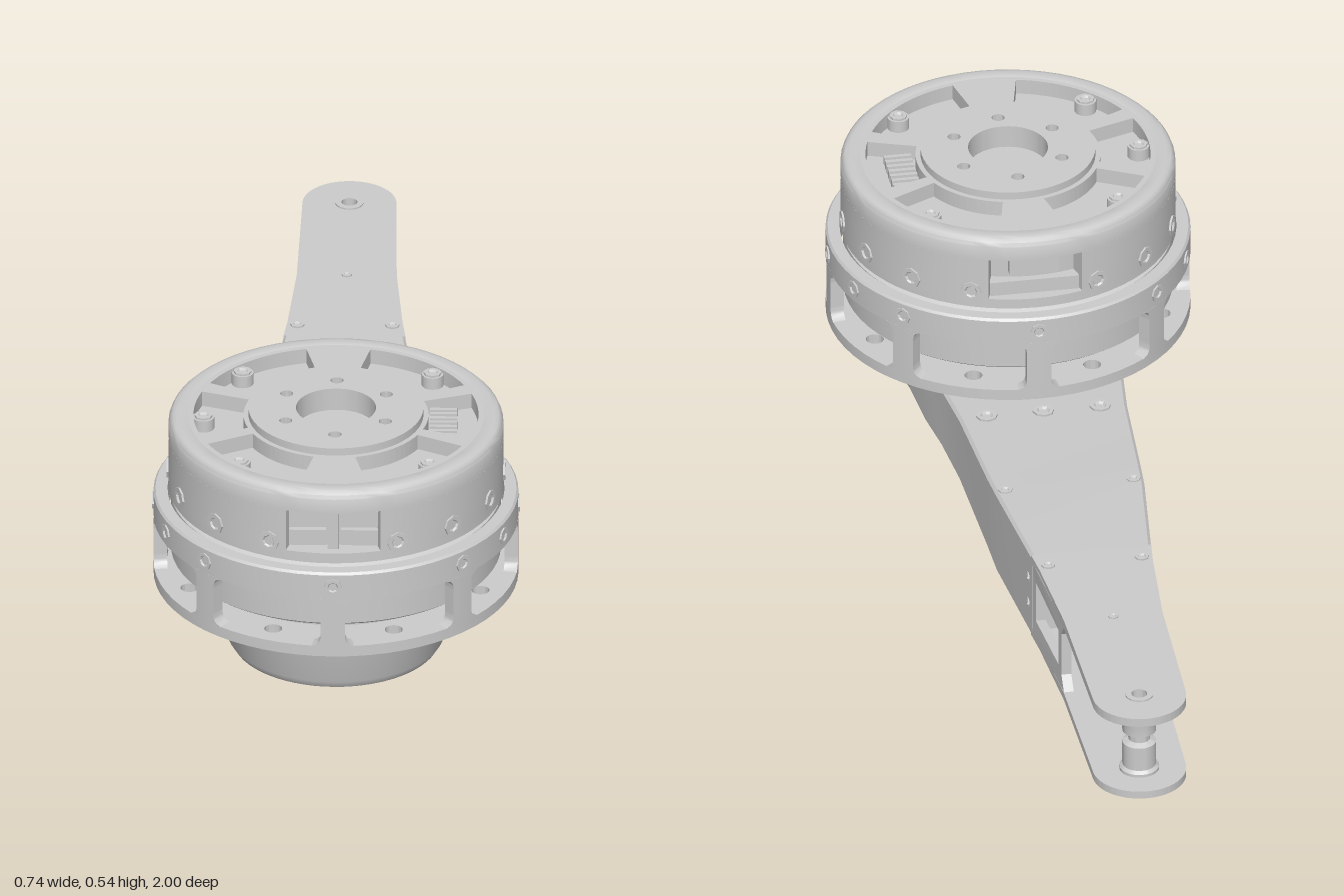
import * as THREE from 'three';
import { toCreasedNormals } from 'three/addons/utils/BufferGeometryUtils.js';

const MAT = new THREE.MeshStandardMaterial({ color: 0xcccccc, side: THREE.DoubleSide });
const V = (x, y) => new THREE.Vector2(x, y);

function add(parent, name, geometry, x = 0, y = 0, z = 0) {
  const mesh = new THREE.Mesh(geometry, MAT);
  mesh.name = name;
  mesh.position.set(x, y, z);
  parent.add(mesh);
  return mesh;
}

// Turned part from [radius, height] pairs, with crisp edges
const turned = (pts, sides = 64) =>
  toCreasedNormals(new THREE.LatheGeometry(pts.map(p => V(...p)), sides), 0.6);
const ring = (r0, r1, y0, y1) => turned([[r0, y0], [r1, y0], [r1, y1], [r0, y1], [r0, y0]]);

// Horizontal slab: the shape is drawn in (x, -z) and raised from y0 to y1
function slab(shape, y0, y1) {
  const g = new THREE.ExtrudeGeometry(shape, { depth: y1 - y0, bevelEnabled: false, curveSegments: 32 });
  g.rotateX(-Math.PI / 2).translate(0, y0, 0);
  return toCreasedNormals(g, 0.6);
}

const circle = (x, y, r) => new THREE.Path().absarc(x, y, r, 0, Math.PI * 2, true);

function sector(r0, r1, a0, a1) {
  const p = new THREE.Path();
  p.absarc(0, 0, r1, a0, a1, false);
  p.absarc(0, 0, r0, a1, a0, true);
  p.closePath();
  return p;
}

// Box wrapped round the y axis; half(y) gives its half angle
function bentBox(r0, r1, y0, y1, angle, half, cols, rows) {
  const g = new THREE.BoxGeometry(1, 1, 1, cols, rows, 1);
  const p = g.attributes.position;
  for (let i = 0; i < p.count; i++) {
    const y = y0 + (p.getY(i) + 0.5) * (y1 - y0);
    const a = angle + p.getX(i) * 2 * half(y);
    const r = r0 + (p.getZ(i) + 0.5) * (r1 - r0);
    p.setXYZ(i, Math.sin(a) * r, y, Math.cos(a) * r);
  }
  return toCreasedNormals(g, 0.6);
}

// Small socket screw, facing +y
const SCREW = turned([[0.018, -0.006], [0.018, 0.003], [0.011, 0.003], [0.008, -0.001], [0, -0.001]], 8);

function wallScrew(parent, angle, r, y, size) {
  const pivot = new THREE.Group();
  pivot.rotation.y = angle;
  parent.add(pivot);
  const s = add(pivot, 'wallScrew', SCREW, 0, y, r);
  s.rotation.x = Math.PI / 2;
  s.scale.setScalar(size);
}

// Half-width of the arm along z
const WIDTHS = [[0.62, 0.212], [0.45, 0.2], [0.35, 0.184], [0.22, 0.17], [-0.08, 0.152], [-0.4, 0.115], [-0.6, 0.1], [-0.905, 0.094]];
function halfWidth(z) {
  for (let i = 1; i < WIDTHS.length; i++) {
    const [z0, w0] = WIDTHS[i - 1], [z1, w1] = WIDTHS[i];
    if (z >= z1) return w0 + (w1 - w0) * (z0 - z) / (z0 - z1);
  }
  return 0.094;
}

// Solid root of the arm, lofted from sections [z, bottom, top, bottom chamfer]
function armBody() {
  const rows = [[0.62, 0.013, 0.165, 0.02], [0.45, 0.013, 0.165, 0.025], [0.35, 0.012, 0.168, 0.025], [0.22, 0.009, 0.173, 0.025],
    [-0.02, 0.003, 0.181, 0.018], [-0.1, 0, 0.186, 0.01], [-0.35, 0, 0.186, 0.005]];
  const pos = [], idx = [], n = 8;
  for (const [z, b, t, c] of rows) {
    const w = halfWidth(z), e = 0.006;
    for (const [x, y] of [[w - c, b], [w, b + c], [w, t - e], [w - e, t], [e - w, t], [-w, t - e], [-w, b + c], [c - w, b]])
      pos.push(x, y, z);
  }
  for (let i = 0; i < rows.length - 1; i++)
    for (let k = 0; k < n; k++) {
      const a = i * n + k, b = i * n + (k + 1) % n;
      idx.push(a, a + n, b, b, a + n, b + n);
    }
  const end = (rows.length - 1) * n;
  for (let k = 1; k < n - 1; k++) idx.push(end, end + k + 1, end + k, 0, k, k + 1);
  const g = new THREE.BufferGeometry();
  g.setAttribute('position', new THREE.Float32BufferAttribute(pos, 3));
  g.setIndex(idx);
  return toCreasedNormals(g, 0.5);
}

function buildArm() {
  const arm = new THREE.Group();
  arm.name = 'arm';
  add(arm, 'armBody', armBody());

  // Upper and lower fork plates with rounded tip
  const plate = new THREE.Shape();
  const zs = [-0.34, -0.4, -0.6, -0.905];
  plate.moveTo(-halfWidth(zs[0]), -zs[0]);
  zs.forEach(z => plate.lineTo(halfWidth(z), -z));
  plate.absarc(0, 0.905, 0.094, 0, Math.PI, false);
  [...zs].reverse().forEach(z => plate.lineTo(-halfWidth(z), -z));
  plate.holes.push(circle(0, 0.905, 0.016));
  add(arm, 'upperForkPlate', slab(plate, 0.168, 0.186));
  add(arm, 'lowerForkPlate', slab(plate, 0, 0.016));

  // Side walls with a window
  const wall = new THREE.Shape([V(0.33, 0.01), V(0.6, 0.01), V(0.575, 0.045), V(0.575, 0.14), V(0.6, 0.175), V(0.33, 0.175)]);
  wall.holes.push(new THREE.Path([V(0.37, 0.05), V(0.37, 0.14), V(0.553, 0.135), V(0.553, 0.055)]));
  const wg = new THREE.ExtrudeGeometry(wall, { depth: 0.02, bevelEnabled: false });
  wg.rotateY(Math.PI / 2);
  const p = wg.attributes.position;
  for (let i = 0; i < p.count; i++) p.setX(i, p.getX(i) + halfWidth(p.getZ(i)) - 0.021);
  wg.computeVertexNormals();
  for (const s of [1, -1]) {
    add(arm, 'sideWall', wg).scale.x = s;
    for (const y of [0.065, 0.125]) {
      const screw = add(arm, 'sideScrew', SCREW, s * halfWidth(-0.32), y, -0.32);
      screw.rotation.z = -s * Math.PI / 2;
      screw.scale.setScalar(0.6);
    }
  }

  // Spacer post and tip standoff
  add(arm, 'spacerPost', new THREE.CylinderGeometry(0.03, 0.03, 0.16, 24), 0, 0.093, -0.6);
  add(arm, 'tipStandoff', turned([[0, 0.014], [0.04, 0.014], [0.04, 0.022], [0.034, 0.028], [0.034, 0.08], [0.022, 0.086],
    [0.022, 0.1], [0.034, 0.106], [0.034, 0.14], [0.04, 0.162], [0.04, 0.17], [0, 0.17]], 32), 0, 0, -0.905);
  add(arm, 'tipCollar', ring(0.016, 0.028, 0.18, 0.189), 0, 0, -0.905);

  // Top screws, and three underneath
  const spots = [[0, 0.22, 0.174, 1.2], [0, -0.6, 0.187, 0.6]];
  for (const s of [1, -1])
    spots.push([s * 0.115, 0.22, 0.174, 1.2], [s * 0.13, -0.085, 0.186, 0.8], [s * 0.095, -0.385, 0.187, 0.8]);
  for (const [x, z, y, k] of spots) add(arm, 'topScrew', SCREW, x, y, z).scale.setScalar(k);
  for (const x of [-0.115, 0, 0.115]) add(arm, 'bottomScrew', SCREW, x, 0.009, 0.22).rotation.x = Math.PI;
  return arm;
}

function buildMotor() {
  const motor = new THREE.Group();
  motor.name = 'motor';
  motor.position.z = 0.635;

  // Lower hub with flared flange
  add(motor, 'lowerHub', turned([[0, 0.013], [0.185, 0.013], [0.207, 0.02], [0.217, 0.036], [0.221, 0.13], [0.228, 0.146],
    [0.25, 0.157], [0.277, 0.157], [0.277, 0.174], [0, 0.174]]));

  // Cage: base plate, eight pillars and top band
  const base = new THREE.Shape().absarc(0, 0, 0.365, 0, Math.PI * 2, false);
  base.holes.push(circle(0, 0, 0.2));
  for (let i = 0; i < 8; i++) {
    const a = (i + 0.5) * Math.PI / 4;
    base.holes.push(circle(Math.cos(a) * 0.315, Math.sin(a) * 0.315, 0.018));
  }
  add(motor, 'cageBase', slab(base, 0.173, 0.196));
  add(motor, 'cageBand', turned([[0.337, 0.302], [0.365, 0.302], [0.365, 0.356], [0.361, 0.361], [0.337, 0.361], [0.337, 0.302]]));
  const flare = y => {
    const d = Math.max(0, 0.02 - Math.min(y - 0.195, 0.303 - y));
    return 0.068 + (0.02 - Math.sqrt(Math.max(0, 0.0004 - d * d))) / 0.365;
  };
  for (let i = 0; i < 8; i++) {
    const a = i * Math.PI / 4;
    add(motor, 'cagePillar', bentBox(0.338, 0.365, 0.195, 0.303, a, flare, 6, 20));
    wallScrew(motor, a, 0.365, 0.33, 1);
  }
  for (const side of [1, -1])
    for (const d of [-1, 1]) wallScrew(motor, side * Math.PI / 2 + d * Math.PI / 8, 0.365, 0.33, 1);

  // Stator foot and rotor drum inside the cage
  add(motor, 'statorFoot', ring(0.1, 0.275, 0.19, 0.23));
  add(motor, 'rotorDrum', turned([[0, 0.224], [0.322, 0.224], [0.33, 0.23], [0.33, 0.355], [0.32, 0.36], [0.32, 0.372], [0, 0.372]]));

  // Upper case: lower ring, side bands between front and back ports, rounded rim
  add(motor, 'caseLowerRing', ring(0.295, 0.335, 0.369, 0.39));
  for (const s of [1, -1])
    add(motor, 'caseSideBand', bentBox(0.295, 0.335, 0.39, 0.48, s * Math.PI / 2, () => Math.PI / 2 - 0.287, 40, 1));
  add(motor, 'caseRim', turned([[0.29, 0.48], [0.335, 0.48], [0.335, 0.512], [0.332, 0.52], [0.326, 0.526], [0.318, 0.528],
    [0.298, 0.528], [0.29, 0.524], [0.29, 0.48]]));
  add(motor, 'caseCore', new THREE.CylinderGeometry(0.296, 0.296, 0.125, 64), 0, 0.4325, 0);
  for (let i = 0; i < 16; i++) if (i % 8) wallScrew(motor, i * Math.PI / 8, 0.335, 0.405, 1.2);

  // Front connectors and back port
  for (const s of [1, -1]) {
    add(motor, 'frontConnector', new THREE.BoxGeometry(0.074, 0.036, 0.04), s * 0.052, 0.456, 0.293);
    add(motor, 'frontConnectorLip', new THREE.BoxGeometry(0.074, 0.034, 0.04), s * 0.052, 0.412, 0.288);
  }
  add(motor, 'frontDivider', new THREE.BoxGeometry(0.022, 0.09, 0.04), 0, 0.435, 0.296);
  add(motor, 'backPort', new THREE.BoxGeometry(0.1, 0.045, 0.03), 0, 0.456, -0.294);
  add(motor, 'backPortLip', new THREE.BoxGeometry(0.18, 0.03, 0.03), 0, 0.405, -0.296);

  // Slotted cover: four wide diagonal slots and two narrow side slots
  const cover = new THREE.Shape().absarc(0, 0, 0.3, 0, Math.PI * 2, false);
  cover.holes.push(circle(0, 0, 0.16));
  const deg = Math.PI / 180;
  for (const [c, h] of [[0, 19], [180, 19], [52, 25], [128, 25], [232, 25], [308, 25]])
    cover.holes.push(sector(0.185, 0.285, (c - h) * deg, (c + h) * deg));
  add(motor, 'slottedCover', slab(cover, 0.494, 0.527));
  for (const [x, z] of [[0.19, 0.19], [-0.19, 0.19], [0.19, -0.19], [-0.19, -0.19], [-0.265, 0]]) {
    add(motor, 'coverPost', new THREE.CylinderGeometry(0.022, 0.022, 0.026, 16), x, 0.507, z);
    add(motor, 'coverScrew', SCREW, x, 0.521, z);
  }
  for (let i = 0; i < 7; i++)
    add(motor, 'pin', new THREE.BoxGeometry(0.055, 0.018, 0.009), 0.215, 0.504, (i - 3) * 0.018);

  // Output boss with centre bore and bolt circle
  const boss = new THREE.Shape().absarc(0, 0, 0.175, 0, Math.PI * 2, false);
  boss.holes.push(circle(0, 0, 0.08));
  for (let i = 0; i < 6; i++) {
    const a = (i + 0.5) * Math.PI / 3;
    boss.holes.push(circle(Math.cos(a) * 0.115, Math.sin(a) * 0.115, 0.013));
  }
  add(motor, 'outputBoss', slab(boss, 0.494, 0.543));
  return motor;
}

export function createModel() {
  const model = new THREE.Group();
  model.name = 'motorArm';
  model.add(buildArm(), buildMotor());
  return model;
}
